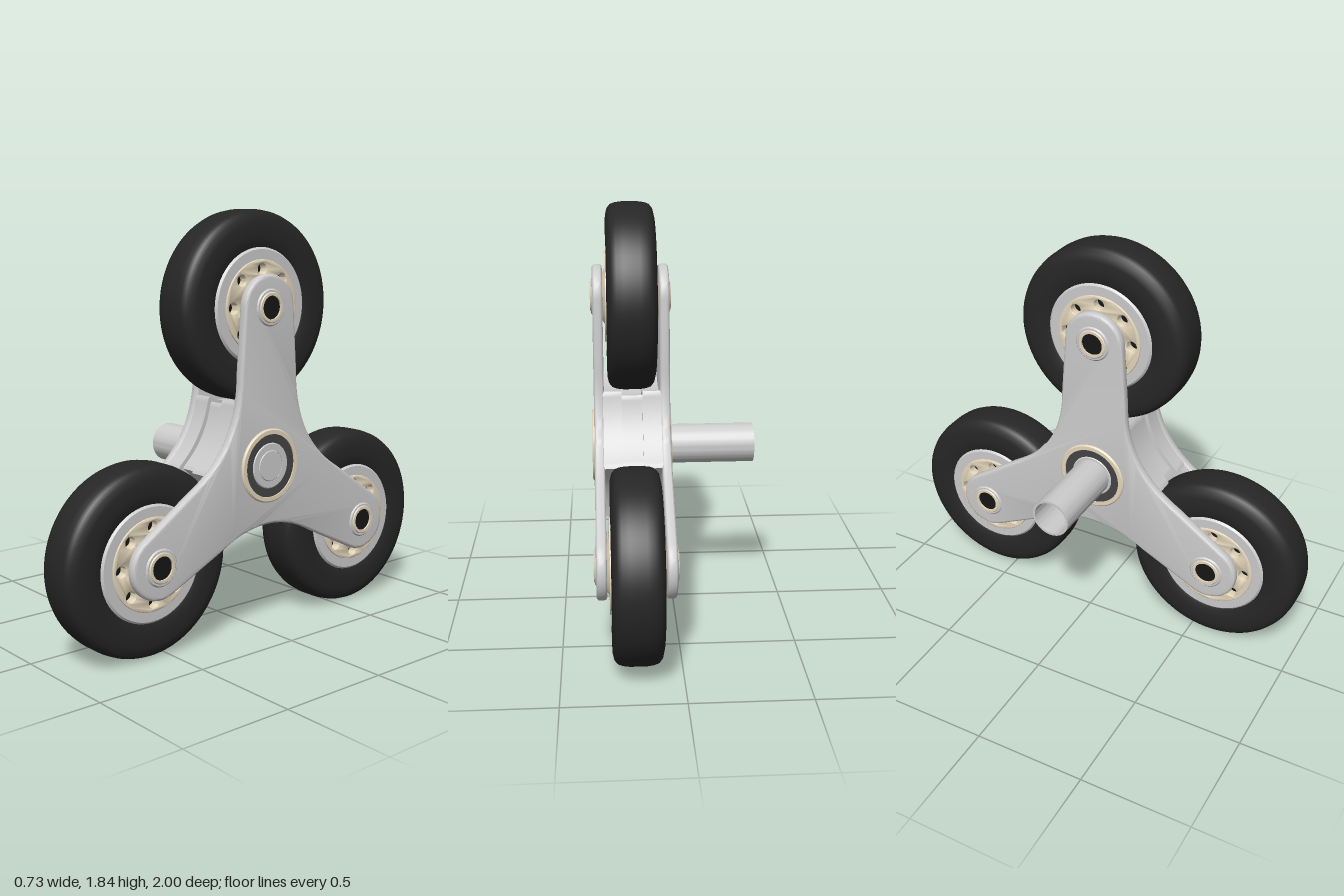
import * as THREE from 'three';
import { toCreasedNormals } from 'three/addons/utils/BufferGeometryUtils.js';

const material = (color) => new THREE.MeshStandardMaterial({ color, side: THREE.DoubleSide });
const grey = material(0xcccccc), rubber = material(0x262626);
const dark = material(0x161616), seal = material(0x444444), beige = material(0xe4d6bb);

const ARM = 0.68;      // hub centre to wheel centre
const TIP = 0.14;      // rounded arm end radius
const WAIST = 0.16;    // arm half width near the hub
const CLEAR = 0.418;   // wheel cut-out radius in the core

const armAngle = (k) => Math.PI / 2 + (k * Math.PI * 2) / 3;
// Point given along (r) and across (w) arm k
function armPoint(k, r, w) {
  return new THREE.Vector2(r, w).rotateAround(new THREE.Vector2(), armAngle(k));
}

function mesh(name, geometry, mat) {
  const m = new THREE.Mesh(geometry, mat);
  m.name = name;
  return m;
}

// Turned part around the local z axis; points are [radius, z]
function turned(name, points, mat, segments = 64) {
  const g = new THREE.LatheGeometry(points.map(([r, z]) => new THREE.Vector2(r, z)), segments);
  g.rotateX(Math.PI / 2);
  return mesh(name, toCreasedNormals(g, 0.6), mat);
}

// Ring with a small chamfer, from z0 to z1
function ring(name, inner, outer, z0, z1, mat, c = 0.006) {
  return turned(name, [[inner, z0], [outer - c, z0], [outer, z0 + c], [outer, z1 - c],
    [outer - c, z1], [inner, z1], [inner, z0]], mat);
}

function extruded(name, shape, z, depth, bevel, mat) {
  const g = new THREE.ExtrudeGeometry(shape, {
    depth: depth - 2 * bevel, curveSegments: 24, bevelEnabled: bevel > 0,
    bevelThickness: bevel, bevelSize: bevel, bevelOffset: -bevel, bevelSegments: 4,
  });
  g.translate(0, 0, z + bevel);
  return mesh(name, toCreasedNormals(g, 0.6), mat);
}

// Concave curve from arm k to the next arm
function notch(k) {
  const corner = armPoint(k, 0.185, 0).rotateAround(new THREE.Vector2(), Math.PI / 3);
  return new THREE.QuadraticBezierCurve(
    armPoint(k, 0.4, WAIST), corner, armPoint(k + 1, 0.4, -WAIST));
}

// Three-armed outline of the side plates
function plateShape() {
  const points = [];
  for (let k = 0; k < 3; k++) {
    for (let i = 0; i <= 24; i++) {
      const a = -Math.PI / 2 + (i / 24) * Math.PI;
      points.push(armPoint(k, ARM + TIP * Math.cos(a), TIP * Math.sin(a)));
    }
    points.push(...notch(k).getPoints(24));
  }
  return new THREE.Shape(points);
}

// Hub core: notches joined by arcs that clear the wheels
function coreShape(scale) {
  const points = [];
  for (let k = 0; k < 3; k++) {
    const span = 0.4;
    for (let i = 0; i <= 12; i++) {
      const a = -span + (2 * span * i) / 12;
      points.push(armPoint(k, ARM - CLEAR * Math.cos(a), CLEAR * Math.sin(a)));
    }
    points.push(...notch(k).getPoints(40).filter((p) =>
      [k, k + 1].every((j) => p.distanceTo(armPoint(j, ARM, 0)) > CLEAR + 0.003)));
  }
  return new THREE.Shape(points.map((p) => p.multiplyScalar(scale)));
}

// Bearing cage with a circle of ball pockets
function cageShape() {
  const s = new THREE.Shape().absarc(0, 0, 0.2, 0, Math.PI * 2, false);
  s.holes.push(new THREE.Path().absarc(0, 0, 0.09, 0, Math.PI * 2, true));
  for (let i = 0; i < 8; i++) {
    const a = (i * Math.PI) / 4;
    s.holes.push(new THREE.Path().absarc(
      0.16 * Math.cos(a), 0.16 * Math.sin(a), 0.024, 0, Math.PI * 2, true));
  }
  return s;
}

function createWheel() {
  const wheel = new THREE.Group();
  wheel.name = 'wheel';
  const half = [[0.245, 0.094], [0.26, 0.102], [0.3, 0.106], [0.35, 0.105], [0.38, 0.098],
    [0.397, 0.085], [0.405, 0.065], [0.409, 0.035]];
  const mirrored = half.map(([r, z]) => [r, -z]);
  wheel.add(turned('tire', [...mirrored, ...half.reverse(), [0.245, -0.094]], rubber, 96));
  wheel.add(ring('rim', 0.195, 0.252, -0.106, 0.106, grey, 0.01));
  wheel.add(ring('ballTrack', 0.09, 0.198, -0.07, 0.07, dark));
  for (const s of [-1, 1]) {
    wheel.add(extruded('bearingCage', cageShape(), s > 0 ? 0.07 : -0.112, 0.042, 0.004, beige));
    wheel.add(turned('bearingHub', [[0.05, s * 0.135], [0.1, s * 0.125], [0.125, s * 0.11]], beige));
    // Axle boss standing proud of the side plate
    const z = (a, b) => (s > 0 ? [a, b] : [-b, -a]);
    wheel.add(ring('bossRing', 0.064, 0.08, ...z(0.15, 0.172), grey));
    wheel.add(ring('bossBushing', 0.05, 0.066, ...z(0.15, 0.176), beige, 0.004));
    wheel.add(ring('axleBore', 0, 0.052, ...z(0.15, 0.168), dark, 0.001));
  }
  return wheel;
}

export function createModel() {
  const model = new THREE.Group();
  model.name = 'triWheelUnit';
  // Built around local z, then turned so that z becomes x
  const unit = new THREE.Group();
  unit.name = 'wheelCluster';
  unit.rotation.y = Math.PI / 2;
  unit.position.set(0.185, 0.755, 0);
  model.add(unit);

  // Side plates and the grooved core between them
  const plate = plateShape();
  unit.add(extruded('leftPlate', plate, 0.122, 0.044, 0.014, grey));
  unit.add(extruded('rightPlate', plate, -0.166, 0.044, 0.014, grey));
  unit.add(extruded('coreLeft', coreShape(0.985), 0.045, 0.085, 0, grey));
  unit.add(extruded('coreRight', coreShape(0.985), -0.13, 0.085, 0, grey));
  unit.add(extruded('coreGroove', coreShape(0.91), -0.05, 0.1, 0, grey));

  // Wheels at the arm ends
  for (let k = 0; k < 3; k++) {
    const wheel = createWheel();
    const p = armPoint(k, ARM, 0);
    wheel.position.set(p.x, p.y, 0);
    unit.add(wheel);
  }

  // Central bearings
  for (const s of [-1, 1]) {
    const z = (a, b) => (s > 0 ? [a, b] : [-b, -a]);
    unit.add(ring('hubBearingRing', 0.138, 0.162, ...z(0.15, 0.176), beige));
    unit.add(ring('hubSeal', 0.095, 0.14, ...z(0.15, 0.17), seal, 0.002));
    unit.add(ring('hubInnerRace', 0.068, 0.1, ...z(0.15, 0.174), grey, 0.004));
  }

  // Main shaft, hollow at its free end
  unit.add(turned('mainShaft', [[0, -0.2], [0.078, -0.2], [0.078, -0.55], [0.088, -0.55],
    [0.088, 0.15], [0.068, 0.15], [0.068, 0.172], [0.064, 0.176], [0, 0.176]], grey));
  return model;
}
